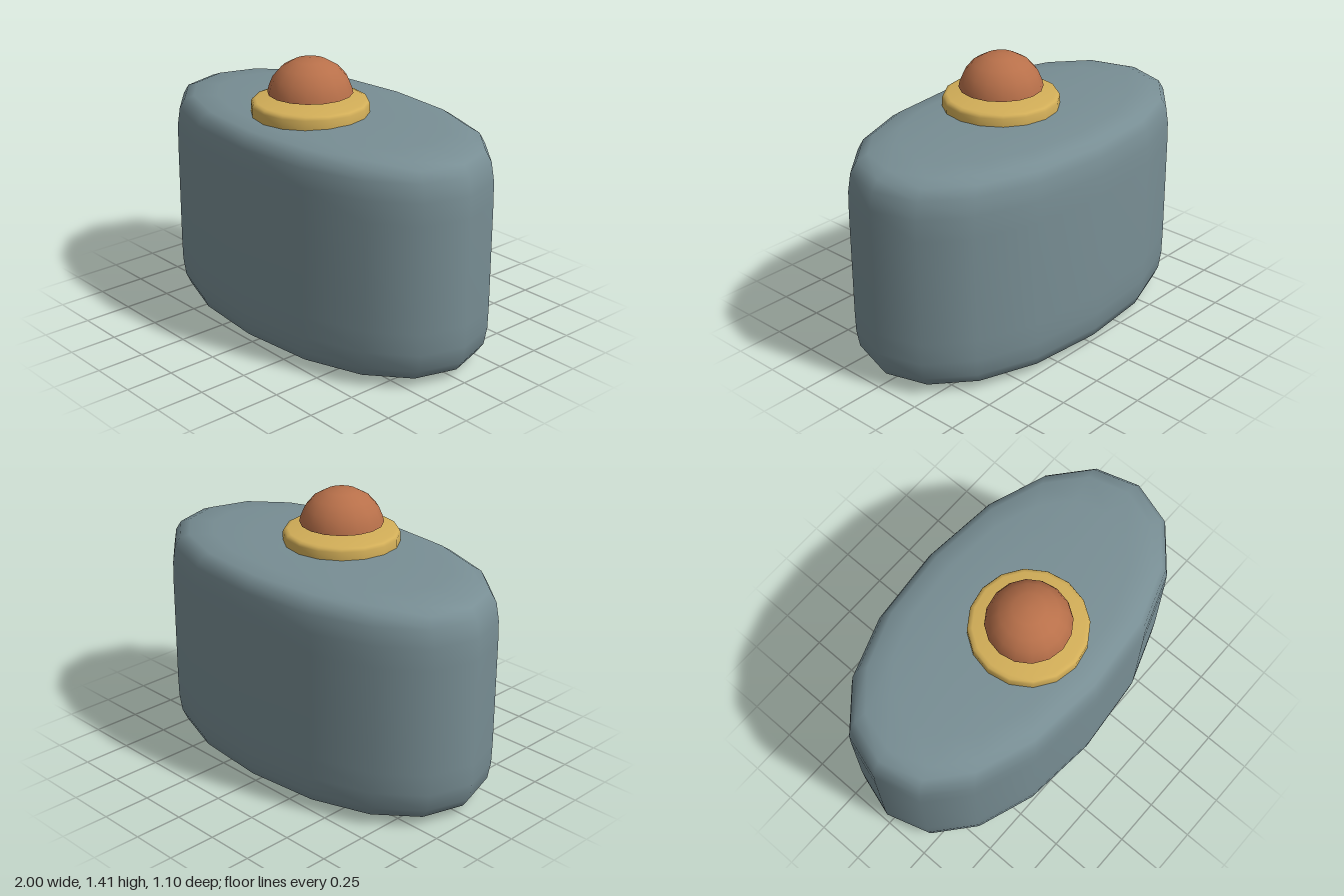
import * as THREE from 'three';
import { toCreasedNormals } from 'three/addons/utils/BufferGeometryUtils.js';

const SIDES = 16;

// Turned part from [radius, y] pairs listed from bottom to top
function turned(profile) {
  return new THREE.LatheGeometry(profile.map(([r, y]) => new THREE.Vector2(r, y)), SIDES);
}

function part(name, geometry, color, creaseAngle = 0.9) {
  const mesh = new THREE.Mesh(
    toCreasedNormals(geometry, creaseAngle),
    new THREE.MeshStandardMaterial({ color })
  );
  mesh.name = name;
  return mesh;
}

// Squarish oval with softly rounded upper and lower rims
function bodyGeometry() {
  const height = 1.145, depth = 0.55, power = 0.92;
  const rim = [[0, 0], [0.4, 0.002], [0.72, 0.01], [0.88, 0.025], [0.945, 0.05], [0.98, 0.1], [0.997, 0.19]];
  const upper = rim.map(([r, y]) => [r, height - y]).reverse();
  const geometry = turned([...rim, [1, 0.3], [1, height - 0.3], ...upper]);
  const pos = geometry.attributes.position;
  const bend = (c) => Math.sign(c) * Math.pow(Math.abs(c), power);
  for (let i = 0; i < pos.count; i++) {
    const x = pos.getX(i), z = pos.getZ(i), r = Math.hypot(x, z);
    if (r < 1e-6) continue;
    pos.setX(i, r * bend(x / r));
    pos.setZ(i, r * bend(z / r) * depth);
  }
  return geometry;
}

export function createModel() {
  const model = new THREE.Group();
  model.name = 'bottle';
  model.add(part('body', bodyGeometry(), 0x788e94, 1.3));

  // Collar, stem and knob share an axis set toward the front
  const cap = new THREE.Group();
  cap.name = 'cap';
  cap.position.z = 0.108;
  cap.add(part('collar', turned([
    [0, 1.13], [0.295, 1.13], [0.295, 1.185], [0.288, 1.2], [0.27, 1.205], [0, 1.205],
  ]), 0xd2ae58));
  cap.add(part('stem', turned([[0.07, 1.19], [0.07, 1.25]]), 0xb8704a));
  cap.add(part('knob', turned([
    [0, 1.228], [0.17, 1.228], [0.212, 1.24], [0.205, 1.27],
    [0.185, 1.318], [0.142, 1.367], [0.08, 1.402], [0, 1.413],
  ]), 0xb8704a));
  model.add(cap);
  return model;
}
